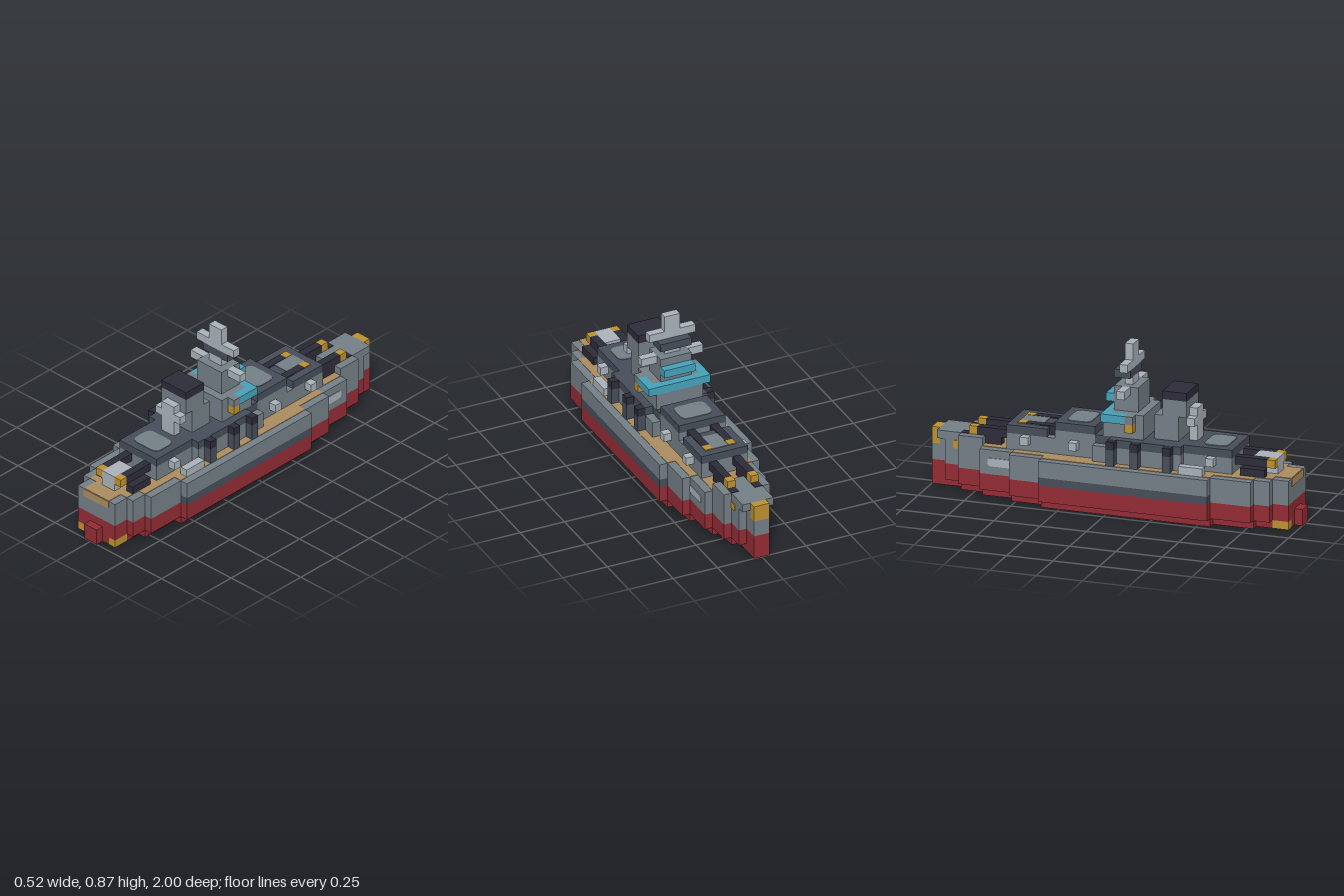
import * as THREE from 'three';

const U = 1 / 23; // one block

const paint = (name, color) => {
  const m = new THREE.MeshStandardMaterial({ color });
  m.name = name;
  return m;
};

export function createModel() {
  const grey = paint('hullGrey', 0x747f86), light = paint('lightGrey', 0xa9b3ba);
  const slate = paint('slate', 0x464e5a), dark = paint('charcoal', 0x2d2c3a);
  const red = paint('hullRed', 0x932c35), tan = paint('deckTan', 0xac8c60);
  const gold = paint('brass', 0xbd9130), cyan = paint('glassBlue', 0x45a2ba);
  const ship = new THREE.Group();
  ship.name = 'battleship';

  // Box between two corners, in block units
  const box = (name, mat, x0, x1, y0, y1, z0, z1) => {
    const mesh = new THREE.Mesh(new THREE.BoxGeometry((x1 - x0) * U, (y1 - y0) * U, (z1 - z0) * U), mat);
    mesh.position.set((x0 + x1) / 2 * U, (y0 + y1) / 2 * U, (z0 + z1) / 2 * U);
    mesh.name = name;
    ship.add(mesh);
    return mesh;
  };
  // Box centred on x, by half width
  const mid = (name, mat, hw, ...r) => box(name, mat, -hw, hw, ...r);
  // The same box on both sides
  const pair = (name, mat, x0, x1, ...r) => {
    box(name + 'Left', mat, x0, x1, ...r);
    box(name + 'Right', mat, -x1, -x0, ...r);
  };
  // Thin plate with rounded corners, drawn in its own xy plane
  const plate = (name, mat, w, h, r) => {
    const s = new THREE.Shape(), a = w / 2, b = h / 2;
    s.moveTo(-a + r, -b).lineTo(a - r, -b).quadraticCurveTo(a, -b, a, -b + r);
    s.lineTo(a, b - r).quadraticCurveTo(a, b, a - r, b);
    s.lineTo(-a + r, b).quadraticCurveTo(-a, b, -a, b - r);
    s.lineTo(-a, -b + r).quadraticCurveTo(-a, -b, -a + r, -b);
    const g = new THREE.ExtrudeGeometry(s, { depth: 0.08, bevelEnabled: false, curveSegments: 4 });
    const mesh = new THREE.Mesh(g.scale(U, U, U), mat);
    mesh.name = name;
    ship.add(mesh);
    return mesh;
  };
  const topPlate = (name, mat, w, l, r, y, z) => {
    const p = plate(name, mat, w, l, r);
    p.rotation.x = -Math.PI / 2;
    p.position.set(0, y * U, z * U);
  };
  const sidePlates = (name, mat, l, h, r, x, y, z) => {
    for (const s of [1, -1]) {
      const p = plate(name + (s > 0 ? 'Left' : 'Right'), mat, l, h, r);
      p.rotation.y = s * Math.PI / 2;
      p.position.set(s * x * U, y * U, z * U);
    }
  };

  // Hull sections: half width, z from, z to, top
  const sections = [
    [2, -21, -19, 6], [3, -19, -16, 7], [4, -16, -12, 6], [5, -12, -8, 6],
    [6, -8, 13, 6], [5, 13, 18, 6], [4, 18, 20, 6], [3, 20, 22, 6],
  ];
  for (const [w, z0, z1, top] of sections) {
    mid('keel', red, w - 1, 0, 1, z0, z1);
    mid('lowerHull', red, w, 1, 3, z0, z1);
    const belt = w === 6;
    if (belt) mid('armourBelt', slate, w, 3, 4, z0, z1);
    mid('upperHull', grey, w, belt ? 4 : 3, top, z0, z1);
    if (z0 >= -16) mid('plankDeck', tan, w - 1, 5.95, 6.06, z0, z1);
  }

  // Bow
  mid('lowerStem', red, 1, 0, 3, -23, -21);
  mid('upperStem', grey, 1, 3, 5, -23, -21);
  mid('stemNeck', grey, 1, 5, 6, -22, -21);
  mid('bowCrest', gold, 1, 5, 7, -23, -22);
  mid('foredeck', grey, 2, 6, 7, -22, -19);
  pair('deckMark', dark, 1, 2, 6.95, 7.06, -19, -18);
  sidePlates('hawseMark', gold, 1, 1, 0.35, 2, 5.5, -19.5);
  sidePlates('hullPatch', light, 3, 1, 0.4, 4, 4.5, -13.5);

  // Stern
  mid('rudder', red, 1, 0, 2, 22, 23);
  pair('propeller', gold, 2, 3, 0, 1, 20, 22);
  plate('sternDeckEdge', tan, 4, 1, 0.25).position.set(0, 5.5 * U, 22 * U);

  // Forward low turret, with guns set in its roof
  mid('frontTurretBase', grey, 3, 6, 8, -13, -7);
  mid('frontTurretRoof', slate, 3, 8, 9, -13, -8);
  topPlate('frontTurretPanel', grey, 4, 3, 0.3, 9, -10.5);
  pair('roofBarrel', dark, 1, 2, 8, 9.12, -11, -7);
  pair('roofMuzzle', gold, 1, 2, 8.5, 9.12, -12, -11);
  pair('frontBarrel', dark, 1, 2, 7, 8, -17, -13);
  pair('frontMuzzle', gold, 1, 2, 7, 8, -18, -17);
  pair('frontBarrelRest', dark, 1, 2, 6, 7, -16, -14);

  // Forward high turret
  mid('highTurretBase', grey, 3, 6, 9, -7, -2);
  mid('highTurretRoof', slate, 3, 9, 10, -7, -2);
  topPlate('highTurretPanel', grey, 4, 3, 0.9, 10, -4.5);

  // Central deckhouse
  mid('deckhouse', grey, 4, 6, 8, -2, 9);
  mid('deckhouseRoof', slate, 3, 8, 9, -2, 0);
  mid('deckhouseWideRoof', slate, 4, 8, 9, 0, 9);

  // Rear turret
  mid('rearTurretBase', grey, 3, 6, 8, 9, 15);
  mid('rearTurretRoof', slate, 3, 8, 9, 9, 15);
  topPlate('rearTurretPanel', grey, 4, 3, 0.9, 9, 12.5);
  pair('rearBarrel', dark, 1, 2, 7, 8, 15, 19);
  pair('rearMuzzle', gold, 1, 2, 7, 8, 19, 20);
  pair('rearBarrelRest', dark, 2, 3, 6, 7, 16, 19);
  mid('sternHouse', light, 1, 6, 8, 17, 20);

  // Side gun mounts, lockers and boats
  for (const z of [0, 3, 7]) {
    pair('sideMount', slate, 4, 5, 6, 8, z, z + 1);
    pair('sideMountCap', dark, 4, 5, 8, 9, z, z + 1);
  }
  for (const z of [-11, -5, 12]) pair('sideLocker', light, 3, 4, 7, 8, z, z + 1);
  pair('boat', light, 4, 5, 6, 7, 9, 12);

  // Bridge tower
  mid('towerBase', grey, 3, 9, 11, -1, 4);
  mid('towerMiddle', grey, 3, 11, 12, 0, 4);
  mid('bridgeWindow', cyan, 4, 11, 12, -1, 0);
  pair('bridgeWingWindow', cyan, 3, 4, 11, 12, 0, 2);
  pair('bridgeWing', grey, 3, 4, 11, 12, 2, 3);
  pair('wingLamp', gold, 3, 4, 10, 11, 2, 3);
  mid('towerTop', grey, 2, 12, 15, 0, 3);
  mid('upperWindow', cyan, 2, 13, 14, -1, 0);
  pair('lowerYard', light, 2, 4, 14, 15, 1, 2);

  // Mast
  mid('mastFoot', light, 1, 15, 16, 1, 2);
  mid('lookout', slate, 2, 16, 17, 0, 2);
  mid('upperYard', light, 3, 17, 18, 1, 2);
  mid('mastHead', light, 1, 18, 20, 1, 2);

  // Funnel and rear pole
  mid('funnelBase', grey, 2, 9, 12, 5, 8);
  mid('funnelTop', grey, 2, 12, 14, 6, 9);
  mid('funnelCap', dark, 2, 14, 15, 6, 9);
  mid('rearPole', light, 1, 9, 13, 9, 10);
  pair('rearPoleArm', light, 1, 2, 11, 12, 9, 10);

  return ship;
}
